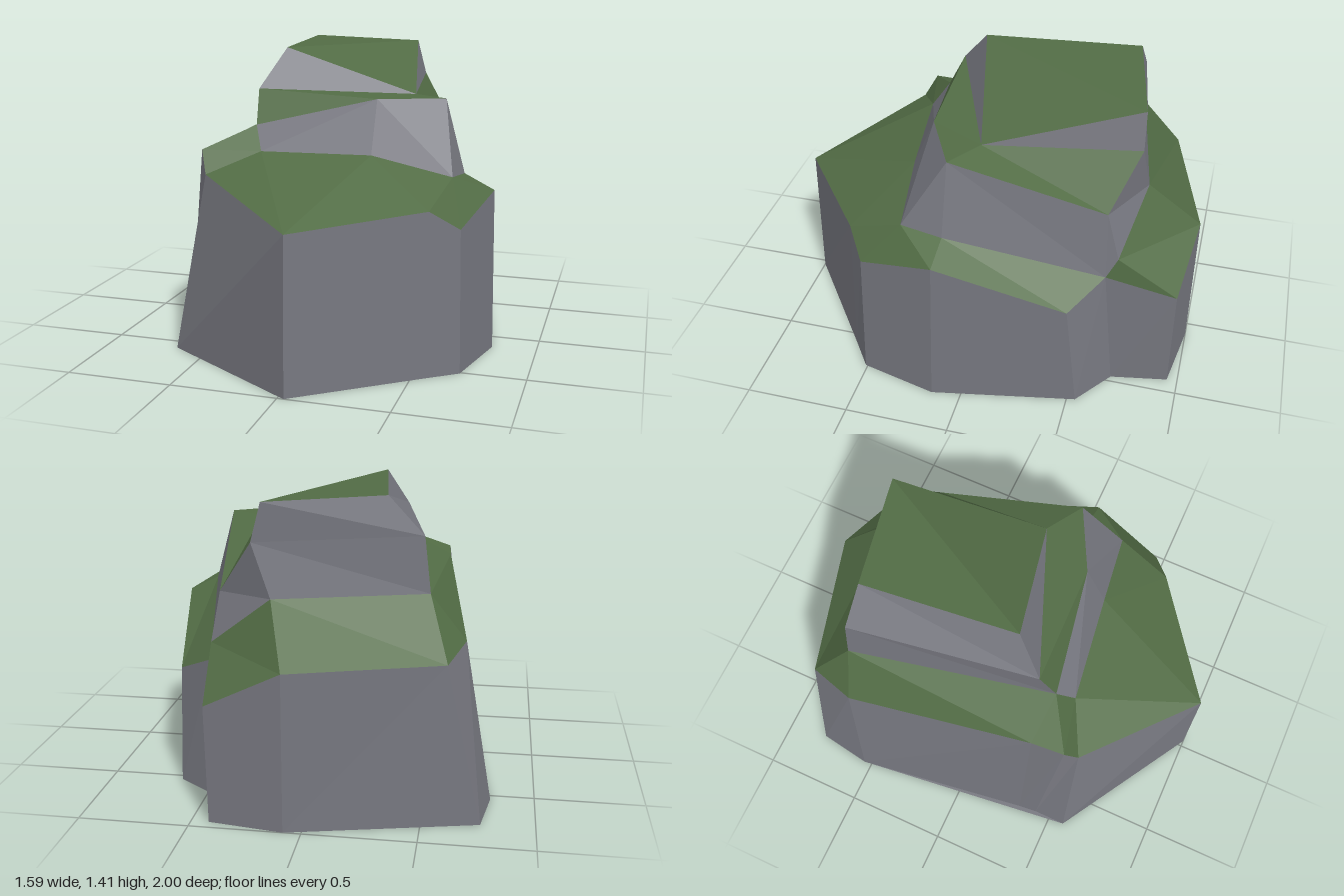
import * as THREE from 'three';

const stone = new THREE.MeshStandardMaterial({ color: 0x76777f, flatShading: true });
stone.name = 'grey stone';
const moss = new THREE.MeshStandardMaterial({ color: 0x526c45, flatShading: true });
moss.name = 'moss green';

// Foot outline on the ground (x, z), from the front tip round by the left side
const foot = [
  [0.03, 1.0], [0.56, 0.61], [0.7, 0.51], [0.79, 0.14], [0.66, -0.54], [0.47, -0.68],
  [0.42, -0.95], [0.08, -1.0], [-0.76, -0.8], [-0.8, -0.54], [-0.67, 0.33], [-0.66, 0.42], [-0.66, 0.58],
].map(([x, z]) => [x, 0, z]);

// Rim of the base, one point above each foot point
const rim = [
  [0.03, 0.72, 0.98], [0.56, 0.76, 0.58], [0.685, 0.665, 0.49], [0.775, 0.77, 0.12], [0.66, 0.545, -0.48],
  [0.48, 0.64, -0.62], [0.43, 0.54, -0.95], [0.08, 0.72, -1.0], [-0.6, 0.73, -0.81], [-0.67, 0.77, -0.58],
  [-0.55, 0.95, 0.33], [-0.54, 0.96, 0.49], [-0.5, 0.855, 0.55],
];
const [tip, tipLeft, left1, left2, left3, notch, back1, back2, back3, right1, right2, right3, right4] = rim;

// Bottom of the upper block
const low = {
  frontRight: [-0.27, 0.955, 0.43], front: [0.24, 0.95, 0.36], frontLeft: [0.61, 0.86, 0.31],
  left: [0.63, 0.84, 0.11], backLeft: [0.46, 0.74, -0.67], back: [0.17, 0.97, -0.75],
  backRight: [-0.51, 0.99, -0.63], right: [-0.32, 1.065, 0.35],
};
// Ledge round the upper block
const mid = {
  right: [-0.335, 1.225, 0.27], front: [0.24, 1.195, 0.255], left: [0.535, 1.19, 0.105],
  backLeft: [0.43, 0.96, -0.605], back: [0.26, 1.21, -0.72], backRight: [-0.48, 1.24, -0.62],
};
// Sloping top
const top = {
  front: [-0.24, 1.41, 0.13], right: [-0.32, 1.41, -0.61], back: [0.215, 1.385, -0.715], left: [0.365, 1.19, -0.005],
};

// Fans each face from its first corner and turns it to face away from the middle of the rock
function facets(name, material, faces) {
  const pos = [];
  const core = new THREE.Vector3(0, 0.5, 0);
  for (const face of faces) {
    const p = face.map((c) => new THREE.Vector3(...c));
    const normal = new THREE.Vector3();
    const centre = new THREE.Vector3();
    p.forEach((v, i) => {
      centre.addScaledVector(v, 1 / p.length);
      normal.add(v.clone().cross(p[(i + 1) % p.length]));
    });
    if (normal.dot(centre.sub(core)) < 0) p.reverse();
    for (let i = 1; i < p.length - 1; i++) {
      for (const v of [p[0], p[i], p[i + 1]]) pos.push(v.x, v.y, v.z);
    }
  }
  const geometry = new THREE.BufferGeometry();
  geometry.setAttribute('position', new THREE.Float32BufferAttribute(pos, 3));
  geometry.computeVertexNormals();
  const mesh = new THREE.Mesh(geometry, material);
  mesh.name = name;
  return mesh;
}

export function createModel() {
  const rock = new THREE.Group();
  rock.name = 'mossyRock';

  // Base: walls between foot and rim, closed underneath
  const walls = foot.map((f, i) => {
    const j = (i + 1) % foot.length;
    return [f, foot[j], rim[j], rim[i]];
  });
  rock.add(facets('baseWalls', stone, walls));
  rock.add(facets('underside', stone, [foot]));

  // Moss on the shoulder of the base
  rock.add(facets('shoulderMoss', moss, [
    [low.frontRight, right3, right4, tip],
    [low.frontRight, tip, low.front],
    [low.front, tip, tipLeft, low.frontLeft],
    [low.frontLeft, tipLeft, left1, left2, low.left],
    [low.left, left2, left3, notch],
    [low.backLeft, notch, back1, back2, low.back],
    [low.back, back2, back3, low.backRight],
    [low.backRight, back3, right1],
    [low.backRight, right1, right2, low.right],
    [low.right, right2, right3],
    [low.right, right3, low.frontRight],
  ]));

  // Stone walls of the upper block
  rock.add(facets('upperWalls', stone, [
    [mid.front, low.right, low.frontRight, low.front],
    [mid.front, low.front, low.frontLeft, mid.left],
    [mid.left, low.frontLeft, low.left],
    [mid.left, low.left, notch, mid.backLeft],
    [mid.backLeft, notch, low.backLeft],
    [mid.backLeft, low.backLeft, low.back, mid.back],
    [mid.back, low.back, low.backRight, mid.backRight],
    [mid.backRight, low.backRight, low.right, mid.right],
  ]));

  // Moss on the ledge
  rock.add(facets('ledgeMoss', moss, [
    [mid.front, mid.right, low.right],
    [mid.front, top.left, mid.right],
    [top.left, mid.front, mid.left],
    [top.left, mid.left, mid.backLeft, mid.back],
  ]));

  // Stone bevel and mossy cap at the top
  rock.add(facets('topBevel', stone, [
    [top.front, mid.right, top.left],
    [top.left, mid.back, top.back],
    [top.back, mid.back, mid.backRight, top.right],
    [top.right, mid.backRight, mid.right, top.front],
  ]));
  rock.add(facets('topMoss', moss, [[top.front, top.left, top.back, top.right]]));

  return rock;
}
